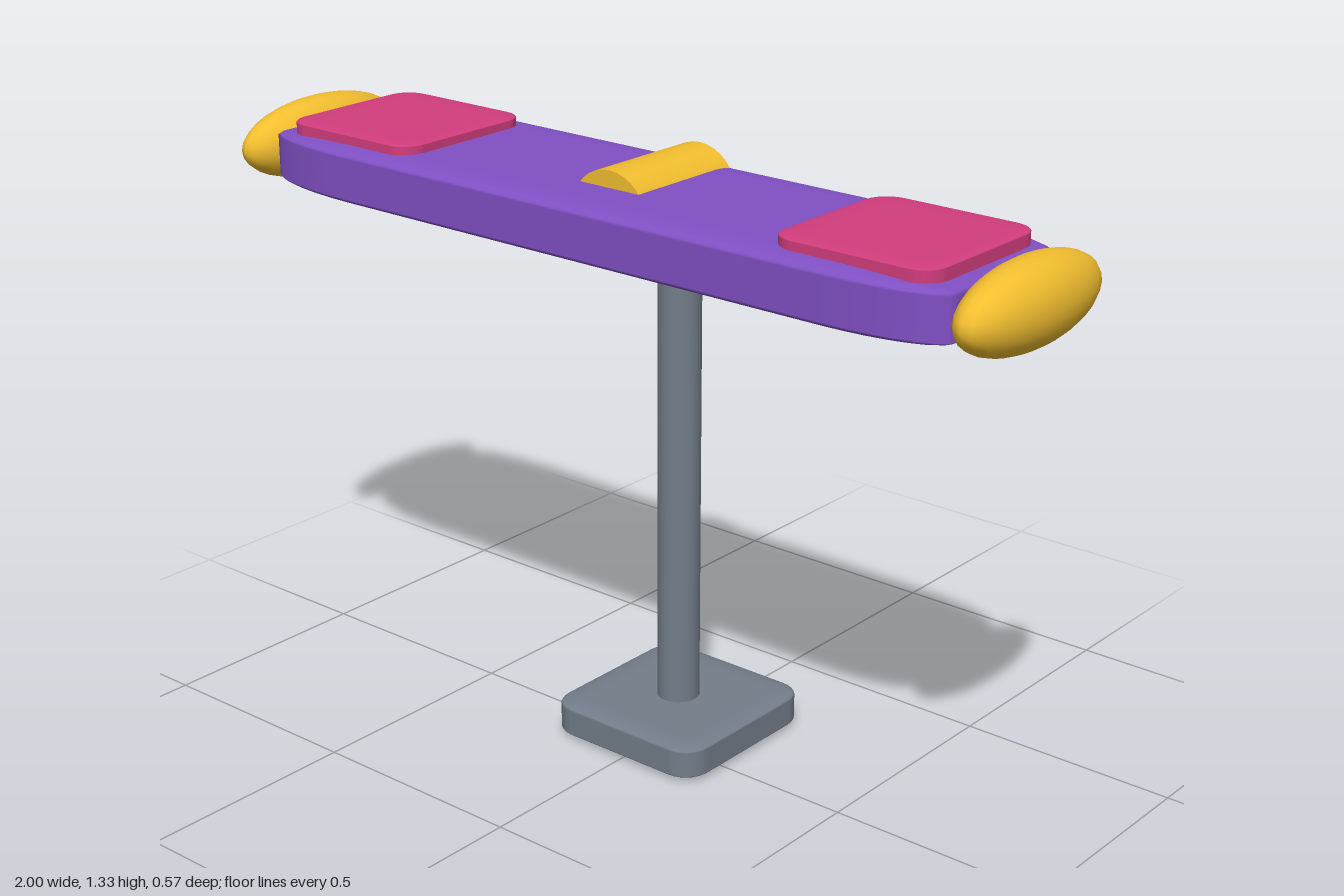
import * as THREE from 'three';
import { RoundedBoxGeometry } from 'three/addons/geometries/RoundedBoxGeometry.js';

const material = (color) => new THREE.MeshStandardMaterial({ color });

export function createModel() {
  const model = new THREE.Group();
  const purple = material(0x8050c4);
  const yellow = material(0xf2be2f);
  const pink = material(0xd23d7d);
  const steel = material(0x737d89);

  const add = (name, geometry, mat, x, y, z) => {
    const mesh = new THREE.Mesh(geometry, mat);
    mesh.name = name;
    mesh.position.set(x, y, z);
    model.add(mesh);
    return mesh;
  };

  // Rounded cube stretched to size, so rounding grows with each side
  const softBox = (w, h, d) =>
    new RoundedBoxGeometry(1, 1, 1, 4, 0.15).scale(w, h, d);

  // Stand: foot and post
  add('standFoot', softBox(0.4, 0.08, 0.408), steel, 0, 0.044, -0.08);
  add('standPost', new THREE.CylinderGeometry(0.047, 0.047, 1.2, 32), steel, 0, 0.6, -0.08);

  // Board
  add('board', softBox(1.76, 0.125, 0.446), purple, 0, 1.231, 0.06);

  // Barrel through the middle of the board
  const hub = new THREE.CylinderGeometry(0.1, 0.1, 0.284, 32).rotateX(Math.PI / 2);
  add('centreBarrel', hub, yellow, 0, 1.23, 0);

  // Foot pads and end bumpers, mirrored
  for (const [side, s] of [['left', 1], ['right', -1]]) {
    add(side + 'FootPad', softBox(0.365, 0.04, 0.367), pink, s * 0.653, 1.296, 0.058);
    const bumper = new THREE.SphereGeometry(1, 24, 16).scale(0.073, 0.088, 0.223);
    add(side + 'EndBumper', bumper, yellow, s * 0.927, 1.233, 0.06);
  }

  return model;
}
